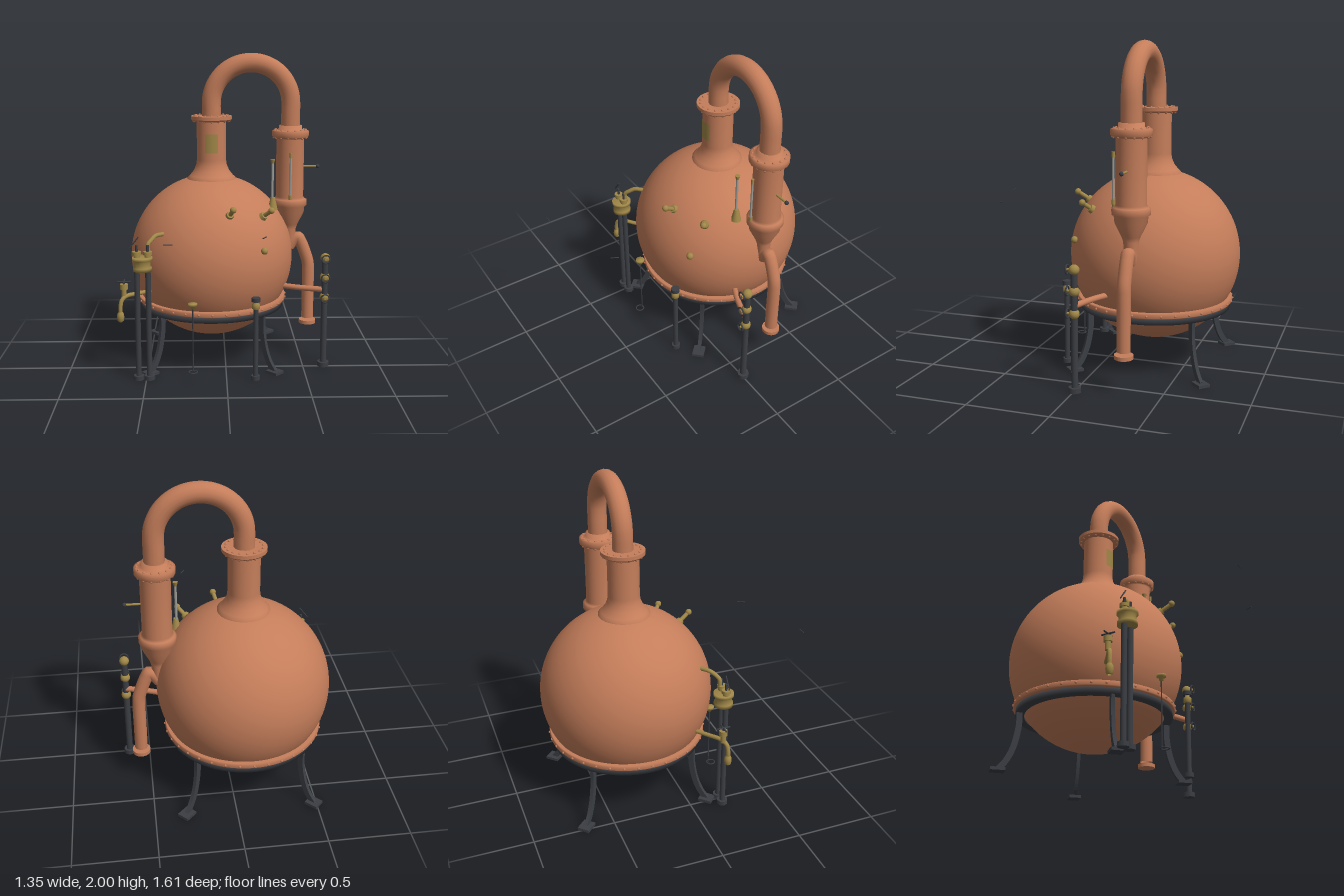
import * as THREE from 'three';

const material = (color) => new THREE.MeshStandardMaterial({ color, side: THREE.DoubleSide });
const V = (x, y, z) => new THREE.Vector3(x, y, z);
const CX = -0.087, CY = 0.69, CZ = -0.277, R = 0.53; // boiler centre and radius

export function createModel() {
  const root = new THREE.Group();
  const copper = material(0xc47d5a), brass = material(0xa08748), iron = material(0x3b3e43), steel = material(0x9b9b96);

  function add(name, geometry, mat, x = 0, y = 0, z = 0, parent = root) {
    const mesh = new THREE.Mesh(geometry, mat);
    mesh.name = name;
    mesh.position.set(x, y, z);
    parent.add(mesh);
    return mesh;
  }
  // Upright cylinder between two heights
  const post = (name, mat, x, z, y0, y1, r0, r1 = r0, seg = 24) =>
    add(name, new THREE.CylinderGeometry(r1, r0, y1 - y0, seg), mat, x, (y0 + y1) / 2, z);
  const ball = (name, mat, x, y, z, r) => add(name, new THREE.SphereGeometry(r, 18, 12), mat, x, y, z);
  // Cylinder between any two points
  function rod(name, mat, a, b, r0, r1 = r0) {
    const d = b.clone().sub(a), mid = a.clone().add(b).multiplyScalar(0.5);
    const m = add(name, new THREE.CylinderGeometry(r1, r0, d.length(), 16), mat, mid.x, mid.y, mid.z);
    m.quaternion.setFromUnitVectors(V(0, 1, 0), d.normalize());
    return m;
  }
  const pipe = (name, mat, points, r, seg = 40) =>
    add(name, new THREE.TubeGeometry(new THREE.CatmullRomCurve3(points), seg, r, 16), mat);
  const lathe = (name, mat, x, z, profile, seg = 40) =>
    add(name, new THREE.LatheGeometry(profile.map(([r, y]) => new THREE.Vector2(r, y)), seg), mat, x, 0, z);
  function rivets(x, y, z, radius, count, size) {
    const g = new THREE.Group();
    g.name = 'rivets';
    const geo = new THREE.SphereGeometry(size, 8, 6);
    for (let i = 0; i < count; i++) {
      const a = (i / count) * Math.PI * 2;
      add('rivet', geo, copper, x + Math.cos(a) * radius, y, z + Math.sin(a) * radius, g);
    }
    root.add(g);
  }

  // Boiler and its riveted belt
  add('boiler', new THREE.SphereGeometry(R, 72, 48), copper, CX, CY, CZ);
  lathe('belt', copper, CX, CZ, [[0.44, 0.396], [0.482, 0.396], [0.488, 0.402], [0.488, 0.424], [0.482, 0.43], [0.44, 0.43]], 72);
  rivets(CX, 0.413, CZ, 0.488, 36, 0.008);

  // Neck with flange and name plate
  lathe('neck', copper, CX, CZ, [[0.158, 1.18], [0.157, 1.202], [0.14, 1.218], [0.115, 1.25], [0.1, 1.285], [0.095, 1.32], [0.095, 1.57]]);
  post('neckFlange', copper, CX, CZ, 1.57, 1.58, 0.122, 0.132, 40);
  post('neckFlange', copper, CX, CZ, 1.58, 1.602, 0.132, 0.132, 40);
  rivets(CX, 1.603, CZ, 0.108, 16, 0.008);
  rivets(CX, 1.571, CZ, 0.118, 16, 0.008);
  const plate = new THREE.CylinderGeometry(0.098, 0.098, 0.12, 12, 1, true, -0.44, 0.88);
  add('plate', plate, brass, CX, 1.43, CZ);

  // Swan neck pipe: straight, half circle, straight
  const KX = 0.425, midX = (CX + KX) / 2, bend = (KX - CX) / 2;
  const swan = [V(CX, 1.59, CZ), V(CX, 1.63, CZ)];
  for (let i = 0; i <= 16; i++) {
    const a = Math.PI * (1 - i / 16);
    swan.push(V(midX + Math.cos(a) * bend, 1.683 + Math.sin(a) * bend, CZ));
  }
  swan.push(V(KX, 1.6, CZ), V(KX, 1.5, CZ));
  pipe('swanNeck', copper, swan, 0.061, 90);

  // Condenser with flanges and lower cone
  lathe('condenser', copper, KX, CZ, [[0.04, 0.76], [0.045, 0.86], [0.055, 0.89], [0.095, 0.97], [0.1, 1.015], [0.113, 1.02],
    [0.113, 1.055], [0.1, 1.06], [0.09, 1.075], [0.09, 1.455], [0.105, 1.46], [0.119, 1.47], [0.119, 1.505], [0.105, 1.51],
    [0.075, 1.512], [0.075, 1.54], [0.05, 1.54]]);
  rivets(KX, 1.51, CZ, 0.1, 14, 0.008);
  rivets(KX, 1.462, CZ, 0.107, 14, 0.008);

  // Outlet pipe
  pipe('outletPipe', copper, [V(0.425, 0.74, CZ), V(0.455, 0.782, CZ), V(0.482, 0.8, CZ), V(0.505, 0.765, CZ),
    V(0.535, 0.69, CZ), V(0.553, 0.63, CZ), V(0.557, 0.57, CZ), V(0.557, 0.4, CZ), V(0.557, 0.247, CZ)], 0.04, 60);
  post('outletRing', copper, 0.557, CZ, 0.207, 0.23, 0.056);

  // Gauges on the condenser
  rod('gaugeArm', brass, V(0.5, 1.273, CZ), V(0.6, 1.273, CZ), 0.007);
  ball('gaugeKnob', iron, 0.606, 1.273, CZ, 0.013);
  post('thermometer', steel, 0.42, -0.168, 1.08, 1.34, 0.007);
  post('thermometerCap', brass, 0.42, -0.168, 1.34, 1.372, 0.009);
  post('thermometerFoot', brass, 0.42, -0.168, 1.07, 1.1, 0.011);

  // Upright gauge on the boiler
  post('gaugeCone', brass, 0.305, -0.148, 1.01, 1.09, 0.032, 0.014);
  post('gaugeTube', steel, 0.302, -0.148, 1.09, 1.31, 0.008);
  post('gaugeTop', brass, 0.302, -0.148, 1.31, 1.335, 0.009, 0.016);

  // Brass cocks on the boiler
  for (const [a, b] of [[V(0.02, 1.02, 0.115), V(0.04, 1.072, 0.192)], [V(0.228, 0.998, 0.03), V(0.28, 1.045, 0.075)]]) {
    rod('cockStem', brass, a, b, 0.013);
    rod('cockFlange', brass, a, a.clone().lerp(b, 0.25), 0.028, 0.022);
    ball('cockKnob', brass, b.x, b.y, b.z, 0.02);
  }
  ball('stud', brass, 0.235, 0.805, 0.142, 0.022);

  // Loose cock handles
  rod('handle', iron, V(-0.355, 1.003, 0.803), V(-0.305, 1.003, 0.803), 0.003);
  rod('handle', iron, V(0.188, 1.003, 0.66), V(0.212, 1.003, 0.618), 0.003);

  // Stand: support ring and four curved legs
  lathe('standRing', iron, CX, CZ, [[0.42, 0.357], [0.472, 0.357], [0.472, 0.393], [0.42, 0.393], [0.42, 0.357]], 64);
  const section = new THREE.Shape([[-0.011, -0.018], [0.011, -0.018], [0.011, 0.018], [-0.011, 0.018]].map((p) => new THREE.Vector2(...p)));
  const legPath = new THREE.CatmullRomCurve3([V(0.452, 0.37, 0), V(0.452, 0.27, 0), V(0.478, 0.14, 0), V(0.515, 0.06, 0), V(0.555, 0.012, 0)]);
  for (let i = 0; i < 4; i++) {
    const leg = new THREE.Group();
    leg.name = 'leg';
    leg.position.set(CX, 0, CZ);
    leg.rotation.y = Math.PI / 4 + (i * Math.PI) / 2;
    add('legBar', new THREE.ExtrudeGeometry(section, { steps: 20, extrudePath: legPath }), iron, 0, 0, 0, leg);
    add('foot', new THREE.BoxGeometry(0.085, 0.018, 0.075), iron, 0.558, 0.009, 0, leg);
    root.add(leg);
  }

  // Twin feed pump on two posts
  const PX = -0.513, PZ = 0.197;
  for (const [x, z] of [[-0.547, 0.197], [-0.48, 0.197]]) {
    post('pumpPost', iron, x, z, 0.01, 0.71, 0.017);
    post('pumpFoot', iron, x, z, 0, 0.027, 0.034, 0.034, 8);
    post('pumpCup', brass, x, z, 0.78, 0.8, 0.02);
    post('pumpCap', brass, x, z, 0.8, 0.82, 0.027);
    post('pumpStem', iron, x, z, 0.82, 0.86, 0.008);
  }
  lathe('pumpBody', brass, PX, PZ, [[0, 0.7], [0.058, 0.7], [0.058, 0.722], [0.05, 0.726], [0.05, 0.762], [0.062, 0.767], [0.062, 0.785], [0, 0.785]]);
  pipe('pumpPipe', brass, [V(-0.48, 0.82, 0.185), V(-0.478, 0.86, 0.182), V(-0.46, 0.882, 0.165), V(-0.435, 0.903, 0.135), V(-0.39, 0.906, 0.095)], 0.013);
  rod('pumpLever', iron, V(-0.59, 0.84, 0.197), V(-0.535, 0.91, 0.197), 0.004);

  // Side tap
  pipe('tapPipe', brass, [V(-0.47, 0.527, 0.035), V(-0.54, 0.527, 0.09), V(-0.62, 0.525, 0.148), V(-0.645, 0.505, 0.166),
    V(-0.655, 0.46, 0.173), V(-0.655, 0.42, 0.173)], 0.013);
  lathe('tapSpout', brass, -0.655, 0.173, [[0.01, 0.367], [0.019, 0.375], [0.023, 0.4], [0.02, 0.42], [0.01, 0.436]], 20);
  post('tapBody', brass, -0.633, 0.147, 0.52, 0.57, 0.016);
  post('tapCap', brass, -0.633, 0.147, 0.57, 0.602, 0.025);
  post('tapStem', iron, -0.633, 0.147, 0.6, 0.622, 0.006);
  rod('tapHandle', iron, V(-0.675, 0.618, 0.147), V(-0.591, 0.618, 0.147), 0.005);
  rod('tapHandle', iron, V(-0.633, 0.618, 0.105), V(-0.633, 0.618, 0.189), 0.005);

  // Pull rod with ring
  lathe('pullFitting', brass, -0.208, 0.245, [[0, 0.465], [0.012, 0.47], [0.014, 0.485], [0.028, 0.49], [0.028, 0.505], [0, 0.508]], 20);
  post('pullRod', iron, -0.208, 0.245, 0.07, 0.47, 0.004, 0.004, 8);
  add('pullRing', new THREE.TorusGeometry(0.026, 0.004, 8, 28), iron, -0.208, 0.07, 0.263).rotation.x = Math.PI / 2;

  // Drain post
  post('drainPost', iron, 0.18, 0.217, 0.01, 0.47, 0.016);
  post('drainFoot', iron, 0.18, 0.217, 0, 0.027, 0.029, 0.029, 8);
  lathe('drainValve', brass, 0.18, 0.217, [[0.015, 0.455], [0.025, 0.462], [0.025, 0.488], [0.015, 0.495], [0.015, 0.505]], 20);
  post('drainCap', iron, 0.18, 0.217, 0.505, 0.53, 0.027);

  // Side column with three valves and its feed pipe
  post('column', iron, 0.632, -0.007, 0.02, 0.72, 0.02);
  post('columnFoot', iron, 0.632, -0.007, 0, 0.03, 0.038, 0.038, 8);
  for (const y of [0.465, 0.597, 0.722]) {
    ball('columnValve', brass, 0.632, y, -0.007, 0.031);
    rod('valveStem', brass, V(0.632, y, 0.01), V(0.632, y, 0.038), 0.008);
    add('valveWheel', new THREE.TorusGeometry(0.026, 0.005, 8, 24), iron, 0.632, y, 0.035);
  }
  pipe('feedPipe', copper, [V(0.36, 0.513, -0.115), V(0.45, 0.513, -0.07), V(0.54, 0.513, -0.037), V(0.63, 0.513, -0.01)], 0.018);

  return root;
}
